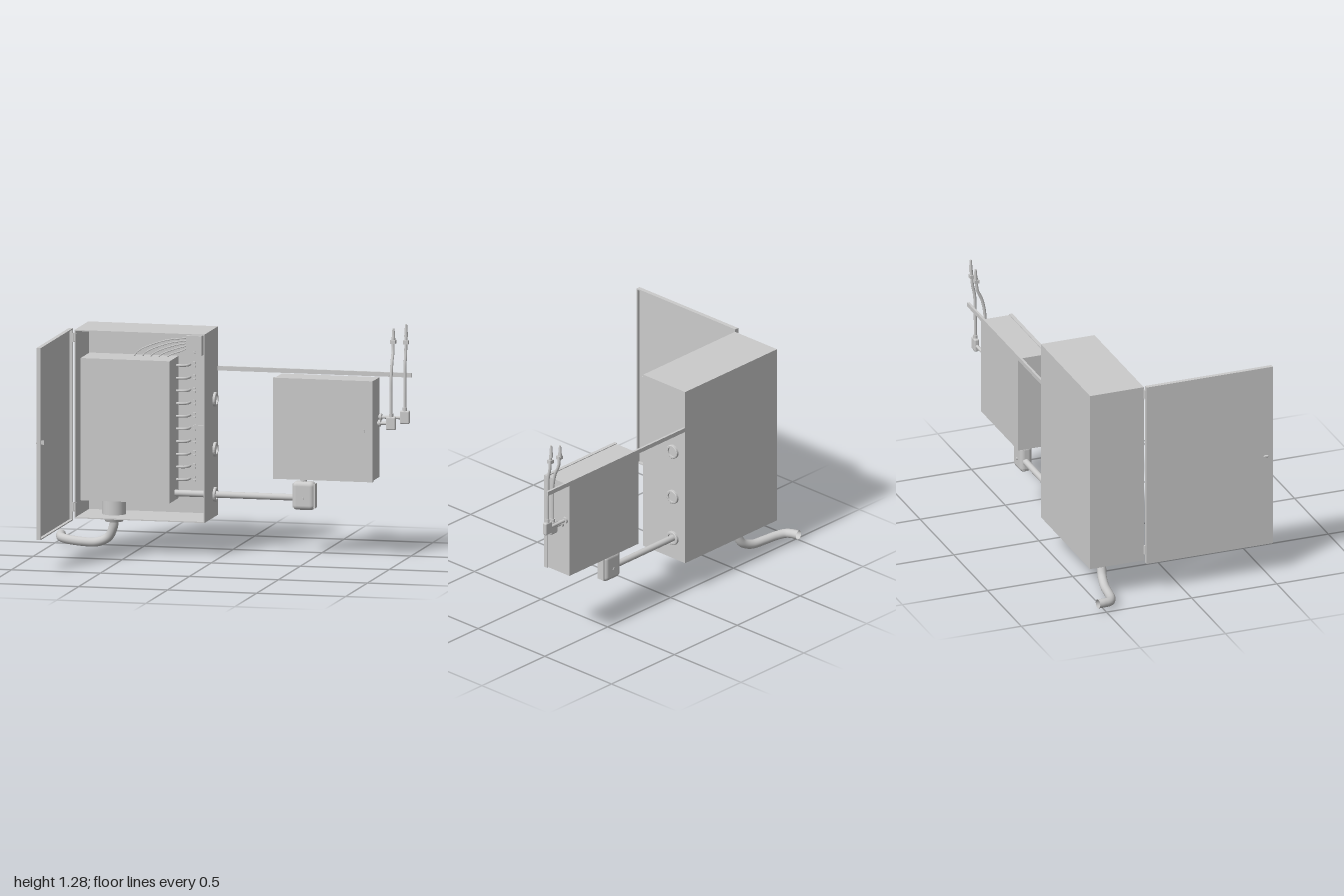
import * as THREE from 'three';
import { RoundedBoxGeometry } from 'three/addons/geometries/RoundedBoxGeometry.js';

export function createModel() {
  const root = new THREE.Group();
  const mat = new THREE.MeshStandardMaterial({ color: 0xcccccc });

  const add = (name, geo, x = 0, y = 0, z = 0) => {
    const m = new THREE.Mesh(geo, mat);
    m.name = name;
    m.position.set(x, y, z);
    root.add(m);
    return m;
  };
  // box given by its limits
  const box = (name, x0, x1, y0, y1, z0, z1) =>
    add(name, new THREE.BoxGeometry(x1 - x0, y1 - y0, z1 - z0), (x0 + x1) / 2, (y0 + y1) / 2, (z0 + z1) / 2);
  const rounded = (name, x0, x1, y0, y1, z0, z1, r) =>
    add(name, new RoundedBoxGeometry(x1 - x0, y1 - y0, z1 - z0, 3, r), (x0 + x1) / 2, (y0 + y1) / 2, (z0 + z1) / 2);
  // round bar along x, y or z
  const bar = (name, axis, r, len, x, y, z, rTop = r) => {
    const m = add(name, new THREE.CylinderGeometry(rTop, r, len, 24), x, y, z);
    if (axis === 'x') m.rotation.z = Math.PI / 2;
    if (axis === 'z') m.rotation.x = Math.PI / 2;
    return m;
  };
  const tube = (name, pts, r, segs = 40, sides = 12) =>
    add(name, new THREE.TubeGeometry(new THREE.CatmullRomCurve3(pts.map(p => new THREE.Vector3(...p))), segs, r, sides));

  // Open main cabinet
  const t = 0.006;
  box('cabinetBack', -0.82, -0.09, 0.19, 1.23, -0.525, -0.519);
  box('cabinetLeftWall', -0.82, -0.82 + t, 0.19, 1.23, -0.525, -0.21);
  box('cabinetRightWall', -0.09 - t, -0.09, 0.19, 1.23, -0.525, -0.21);
  box('cabinetTop', -0.82, -0.09, 1.23 - t, 1.23, -0.525, -0.21);
  box('cabinetBottom', -0.82, -0.09, 0.19, 0.19 + t, -0.525, -0.21);
  box('latchStrike', -0.155, -0.096, 0.7, 0.725, -0.25, -0.235);

  // Door swung fully open, with a folded lip on its inner face
  box('doorPanel', -0.851, -0.845, 0.18, 1.24, -0.205, 0.535);
  for (const [y0, y1] of [[0.18, 0.186], [1.234, 1.24]]) box('doorLip', -0.845, -0.827, y0, y1, -0.205, 0.535);
  for (const [z0, z1] of [[-0.205, -0.199], [0.529, 0.535]]) box('doorLip', -0.845, -0.827, 0.18, 1.24, z0, z1);
  rounded('doorHandle', -0.862, -0.85, 0.704, 0.717, 0.48, 0.508, 0.005);
  box('doorLatch', -0.845, -0.82, 0.7, 0.722, 0.478, 0.49);
  for (const y of [0.255, 1.19]) {
    bar('hingePin', 'y', 0.007, 0.05, -0.825, y, -0.205);
    box('hingeLeaf', -0.82, -0.812, y - 0.02, y + 0.02, -0.235, -0.2);
  }

  // Inner panel and its wiring
  box('innerPanel', -0.81, -0.31, 0.275, 1.06, -0.515, -0.31);
  for (let i = 0; i < 10; i++) {
    const y = 1.015 - i * 0.07;
    tube('sideWire', [[-0.315, y, -0.465], [-0.27, y, -0.465], [-0.25, y, -0.48], [-0.246, y, -0.52]], 0.007, 12, 8);
    for (const dy of [-0.01, 0.01]) box('wireTerminal', -0.228, -0.212, y + dy - 0.005, y + dy + 0.005, -0.52, -0.505);
  }
  for (let i = 0; i < 5; i++) {
    const x = -0.55 + i * 0.045, y = 1.165 - i * 0.014;
    tube('topWire', [[x, 1.055, -0.46], [x + 0.03, 1.09 - i * 0.004, -0.46],
      [(x - 0.25) / 2 + 0.02, y - 0.018, -0.48], [-0.25, y, -0.49]], 0.004, 24, 6);
  }
  box('wiringBox', -0.255, -0.17, 1.07, 1.18, -0.52, -0.465);
  bar('wiringBoxScrew', 'z', 0.008, 0.008, -0.21, 1.09, -0.463);

  // Side wall bushings
  for (const y of [0.84, 0.565, 0.315]) {
    const ring = add('bushing', new THREE.LatheGeometry(
      [[0.027, -0.016], [0.04, -0.016], [0.04, 0.013], [0.036, 0.016], [0.027, 0.016], [0.027, -0.016]]
        .map(p => new THREE.Vector2(...p)), 28).toNonIndexed(), -0.091, y, -0.435);
    ring.geometry.computeVertexNormals();
    ring.rotation.z = -Math.PI / 2;
    bar('bushingPlug', 'x', 0.028, 0.014, -0.092, y, -0.435);
  }

  // Supply pipe through the cabinet floor
  bar('pipeHubUpper', 'y', 0.065, 0.085, -0.64, 0.235, -0.385);
  bar('pipeHubLower', 'y', 0.048, 0.036, -0.64, 0.173, -0.385, 0.065);
  const pipe = tube('supplyPipe', [[-0.64, 0.17, -0.385], [-0.645, 0.125, -0.388], [-0.675, 0.065, -0.397],
    [-0.74, 0.034, -0.408], [-0.83, 0.031, -0.42], [-0.91, 0.037, -0.438], [-0.955, 0.043, -0.465],
    [-0.97, 0.048, -0.505], [-0.975, 0.05, -0.54]], 0.025, 72, 18);
  pipe.material = mat.clone();
  pipe.material.side = THREE.DoubleSide;

  // Link conduit and its elbow box
  bar('linkConduit', 'x', 0.018, 0.68, 0.02, 0.315, -0.435);
  rounded('elbowBox', 0.355, 0.48, 0.25, 0.408, -0.465, -0.395, 0.026);
  box('elbowCoverPlate', 0.358, 0.482, 0.262, 0.396, -0.453, -0.407);
  for (const z of [-0.467, -0.393]) bar('elbowScrew', 'z', 0.008, 0.005, 0.415, 0.316, z);
  bar('elbowNeck', 'y', 0.018, 0.04, 0.415, 0.415, -0.43);
  bar('elbowNut', 'y', 0.038, 0.011, 0.415, 0.426, -0.43);

  // Small closed cabinet
  box('smallCabinet', 0.27, 0.82, 0.434, 0.984, -0.515, -0.345);
  box('smallCabinetLid', 0.265, 0.825, 0.43, 0.988, -0.35, -0.33);
  bar('lidLock', 'z', 0.011, 0.012, 0.77, 0.71, -0.327);

  // Mounting rail
  box('mountingRail', -0.09, 1.0, 0.988, 1.012, -0.525, -0.512);

  // Two risers with box, nipple and clip
  for (const [x, yBox, z, top, nipY] of [[0.897, 0.703, -0.462, 1.255, 0.738], [0.968, 0.735, -0.49, 1.28, 0.768]]) {
    rounded('riserBox', x - 0.027, x + 0.027, yBox, yBox + 0.073, z - 0.014, z + 0.014, 0.008);
    bar('riserCollar', 'y', 0.012, 0.02, x, yBox + 0.08, z);
    bar('riserNipple', 'x', 0.009, x - 0.83, (x + 0.81) / 2, nipY, z);
    bar('nippleNut', 'x', 0.019, 0.012, 0.832, nipY, z);
    tube('riserPipe', [[x, yBox + 0.06, z], [x, 0.9, z], [x, 0.99, z - 0.002], [x, 1.07, z * 0.5 - 0.25],
      [x, 1.13, -0.507], [x, 1.2, -0.513], [x, top - 0.04, -0.516]], 0.0085, 48, 10);
    bar('riserCap', 'y', 0.011, 0.07, x, top - 0.035, -0.517, 0.006);
    box('riserClip', x - 0.014, x + 0.014, 1.172, 1.192, -0.525, -0.5);
  }
  return root;
}
